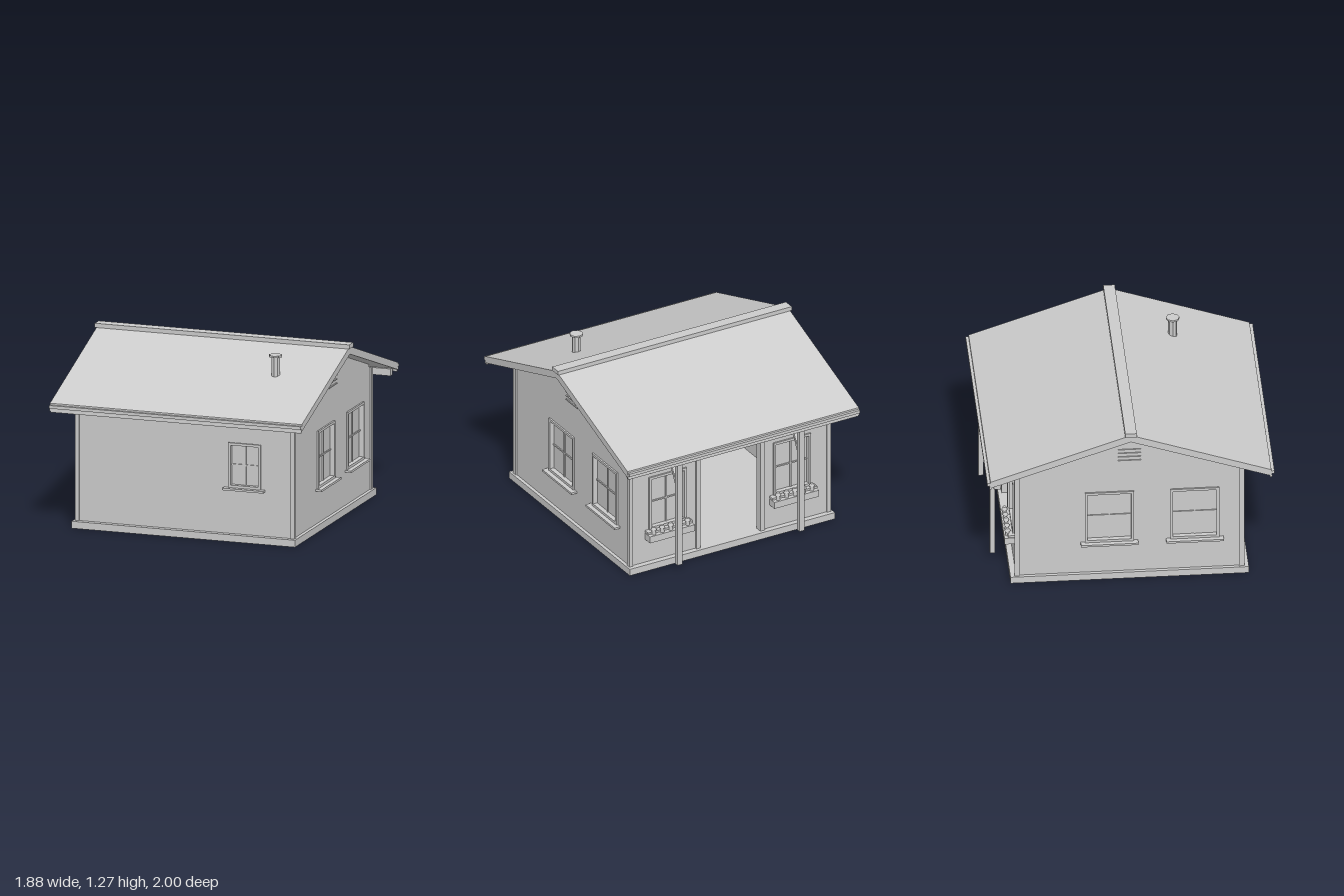
import * as THREE from 'three';

const grey = new THREE.MeshStandardMaterial({ color: 0xcccccc });
grey.name = 'light grey';
const WALL = 0.04; // wall thickness

function add(parent, name, geometry, x = 0, y = 0, z = 0) {
  const mesh = new THREE.Mesh(geometry, grey);
  mesh.name = name;
  mesh.position.set(x, y, z);
  parent.add(mesh);
  return mesh;
}

// Box given by its limits on each axis
function block(parent, name, x0, x1, y0, y1, z0, z1) {
  return add(parent, name, new THREE.BoxGeometry(x1 - x0, y1 - y0, z1 - z0),
    (x0 + x1) / 2, (y0 + y1) / 2, (z0 + z1) / 2);
}

function shapeOf(points) {
  return new THREE.Shape(points.map(([x, y]) => new THREE.Vector2(x, y)));
}

// Window in a wall whose outer face is local z = 0
function addWindow(side, x0, x1, y0, y1) {
  const g = new THREE.Group();
  g.name = 'window';
  side.add(g);
  const f = 0.018, cx = (x0 + x1) / 2, cy = (y0 + y1) / 2;
  for (const [a, b] of [[x0, x0 + f], [x1 - f, x1]]) block(g, 'windowFrameSide', a, b, y0, y1, -0.03, 0.012);
  for (const [a, b] of [[y0, y0 + f], [y1 - f, y1]]) block(g, 'windowFrameRail', x0 + f, x1 - f, a, b, -0.03, 0.012);
  block(g, 'windowPane', x0 + f, x1 - f, y0 + f, y1 - f, -0.029, -0.022);
  block(g, 'windowBarUpright', cx - 0.005, cx + 0.005, y0 + f, y1 - f, -0.022, -0.014);
  block(g, 'windowBarCross', x0 + f, x1 - f, cy - 0.005, cy + 0.005, -0.022, -0.014);
  block(g, 'windowSill', x0 - 0.03, x1 + 0.03, y0 - 0.015, y0, -0.01, 0.045);
}

// One wall with openings [x0, x1, y0, y1], turned to its side of the house
function addWall(house, name, outline, openings, turn, distance) {
  const side = new THREE.Group();
  side.name = name + 'Side';
  side.rotation.y = turn;
  side.position.set(Math.sin(turn) * distance, 0, Math.cos(turn) * distance);
  house.add(side);
  const shape = shapeOf(outline);
  for (const [x0, x1, y0, y1] of openings) {
    shape.holes.push(new THREE.Path([[x0, y0], [x0, y1], [x1, y1], [x1, y0]].map(([x, y]) => new THREE.Vector2(x, y))));
  }
  const geometry = new THREE.ExtrudeGeometry(shape, { depth: WALL, bevelEnabled: false });
  add(side, name, geometry, 0, 0, -WALL);
  return side;
}

export function createModel() {
  const house = new THREE.Group();
  house.name = 'house';

  block(house, 'foundation', -0.825, 0.825, 0, 0.05, -0.83, 0.83);

  // Front wall with one small window
  const frontWindow = [0.32, 0.56, 0.38, 0.7];
  const eave = 0.925;
  const front = addWall(house, 'frontWall', [[-0.8, 0.05], [0.8, 0.05], [0.8, eave], [-0.8, eave]], [frontWindow], 0, 0.79);
  addWindow(front, ...frontWindow);

  // Gable walls with two windows and a louvre
  const sideWindows = [[-0.31, 0.03, 0.3, 0.71], [0.285, 0.625, 0.3, 0.71]];
  for (const [name, s] of [['leftGableWall', 1], ['rightGableWall', -1]]) {
    const side = addWall(house, name, [[-0.75, 0.05], [0.75, 0.05], [0.75, 0.945], [0, 1.2], [-0.75, 0.945]],
      sideWindows, s * Math.PI / 2, 0.8);
    for (const w of sideWindows) addWindow(side, ...w);
    for (let i = 0; i < 4; i++) {
      block(side, 'ventSlat', -0.08, 0.08, 0.96 + i * 0.03, 0.968 + i * 0.03, 0, 0.008);
    }
  }

  // Back wall with a doorway, windows and flower boxes
  const backWindows = [[-0.65, -0.35, 0.3, 0.71], [0.35, 0.65, 0.3, 0.71]];
  const d = 0.24, doorTop = 0.76;
  const back = addWall(house, 'backWall',
    [[-0.8, 0.05], [-d, 0.05], [-d, doorTop], [d, doorTop], [d, 0.05], [0.8, 0.05], [0.8, eave], [-0.8, eave]],
    backWindows, Math.PI, 0.79);
  for (const s of [-1, 1]) {
    const x = s * (d + 0.0175);
    block(back, 'doorTrim', x - 0.0175, x + 0.0175, 0.05, doorTop + 0.035, 0, 0.015);
  }
  block(back, 'doorHead', -d, d, doorTop, doorTop + 0.035, 0, 0.015);
  for (const w of backWindows) {
    addWindow(back, ...w);
    const cx = (w[0] + w[1]) / 2;
    block(back, 'flowerBox', cx - 0.18, cx + 0.18, 0.23, 0.28, 0, 0.07);
    for (let i = -2; i <= 2; i++) {
      const x = cx + i * 0.068;
      add(back, 'flowerStem', new THREE.CylinderGeometry(0.012, 0.016, 0.04, 6), x, 0.3, 0.045);
      add(back, 'flowerHead', new THREE.CylinderGeometry(0.012, 0.022, 0.022, 6), x, 0.325, 0.045);
    }
  }

  // Corner boards
  for (const x of [-1, 1]) {
    for (const z of [-1, 1]) {
      block(house, 'cornerBoard', x * 0.795 - 0.015, x * 0.795 + 0.015, 0.05, 0.92, z * 0.782 - 0.018, z * 0.782 + 0.018);
    }
  }

  // Roof slopes, eaves and ridge
  const roof = shapeOf([[0, 1.255], [-0.978, 0.918], [-0.985, 0.865], [0, 1.2], [0.985, 0.865], [0.978, 0.918]]);
  const roofGeometry = new THREE.ExtrudeGeometry(roof, { depth: 1.86, bevelEnabled: false });
  add(house, 'roof', roofGeometry.translate(0, 0, -0.93).rotateY(Math.PI / 2));
  for (const s of [-1, 1]) {
    block(house, 'eaveBoard', -0.928, 0.928, 0.885, 0.907, s * 0.987 - 0.013, s * 0.987 + 0.013);
    block(house, 'fascia', -0.925, 0.925, 0.855, 0.89, s * 0.977 - 0.007, s * 0.977 + 0.007);
  }
  block(house, 'ridgeCap', -0.94, 0.94, 1.245, 1.275, -0.04, 0.04);

  // Chimney pipe with a cap
  add(house, 'chimneyPipe', new THREE.CylinderGeometry(0.031, 0.031, 0.17, 8).toNonIndexed(), 0.53, 1.16, 0.41)
    .geometry.computeVertexNormals();
  add(house, 'chimneyCap', new THREE.CylinderGeometry(0.047, 0.047, 0.014, 8).toNonIndexed(), 0.53, 1.248, 0.41)
    .geometry.computeVertexNormals();

  // Porch posts, braces and beam under the back eave
  block(house, 'porchBeam', -0.9, 0.9, 0.835, 0.885, -0.952, -0.907);
  for (const x of [-0.49, 0.49]) {
    block(house, 'porchPost', x - 0.019, x + 0.019, 0.05, 0.84, -0.948, -0.912);
    const brace = add(house, 'porchBrace', new THREE.BoxGeometry(0.022, 0.25, 0.022), x, 0.765, -0.857);
    brace.rotation.x = Math.atan2(0.115, 0.215);
  }
  return house;
}
